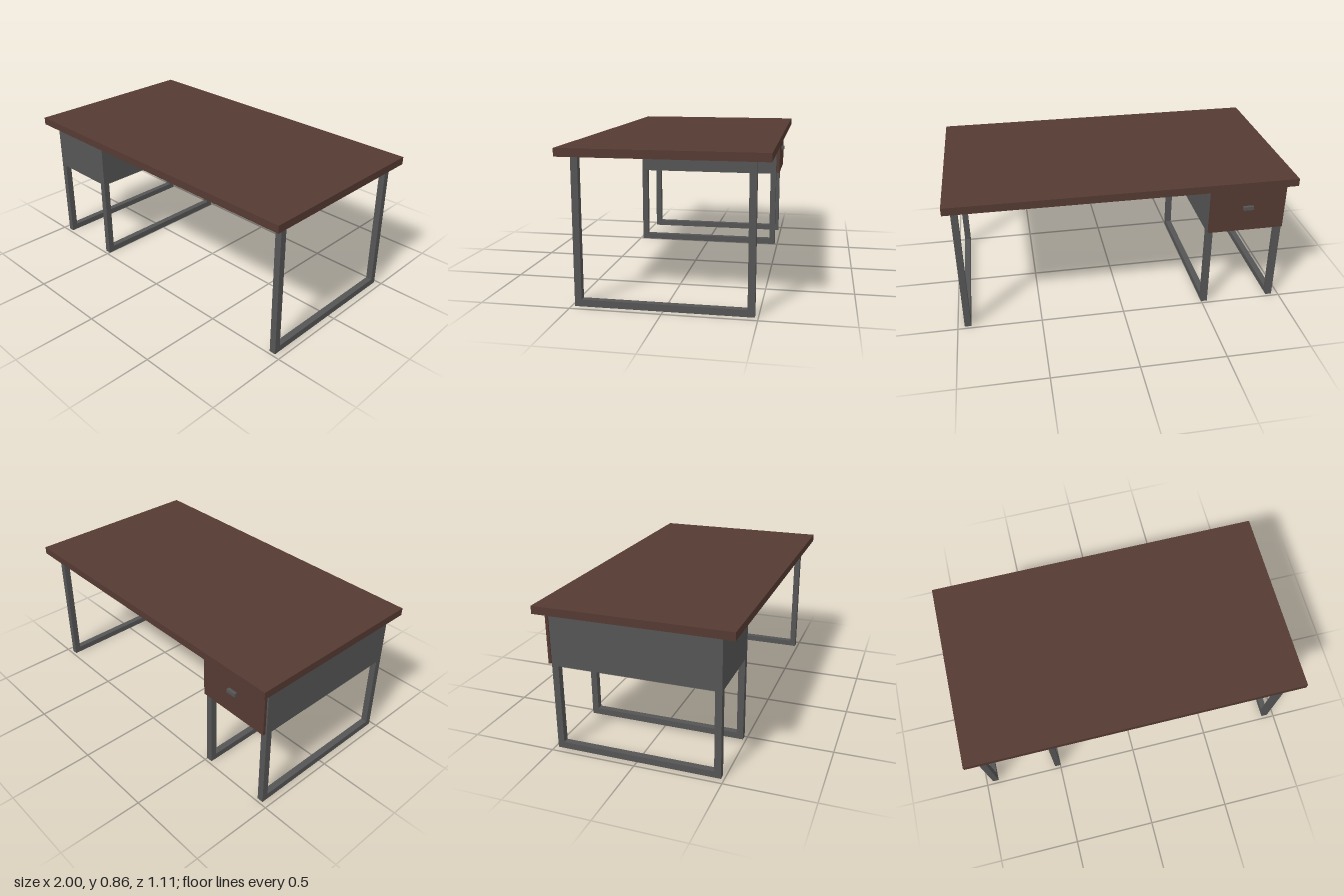
import * as THREE from 'three';

export function createModel() {
  const desk = new THREE.Group();
  desk.name = 'desk';
  const wood = new THREE.MeshStandardMaterial({ color: 0x553a32 });
  const metal = new THREE.MeshStandardMaterial({ color: 0x555555 });

  // Box given by its minimum and maximum along each axis
  function box(parent, name, material, [x0, x1], [y0, y1], [z0, z1]) {
    const mesh = new THREE.Mesh(new THREE.BoxGeometry(x1 - x0, y1 - y0, z1 - z0), material);
    mesh.position.set((x0 + x1) / 2, (y0 + y1) / 2, (z0 + z1) / 2);
    mesh.name = name;
    parent.add(mesh);
  }
  function group(name) {
    const g = new THREE.Group();
    g.name = name;
    desk.add(g);
    return g;
  }

  const bar = 0.038;          // square tube thickness
  const under = 0.81;         // underside of the top
  const zOut = 0.482, zIn = zOut - bar;
  const left = -0.96, right = -0.498; // outer sides of the cabinet
  const low = 0.508;          // bottom of the cabinet

  // Table top
  box(desk, 'tableTop', wood, [-1, 1], [under, 0.855], [-0.557, 0.557]);

  // Three U-shaped leg frames
  for (const x of [left, right - bar, 0.96 - bar]) {
    const frame = group('legFrame');
    const xs = [x, x + bar];
    box(frame, 'frontLeg', metal, xs, [0, under], [zIn, zOut]);
    box(frame, 'backLeg', metal, xs, [0, under], [-zOut, -zIn]);
    box(frame, 'floorRail', metal, xs, [0, bar], [-zIn, zIn]);
  }

  // Cabinet panels fill the upper part of two frames; the bottom stays open
  const cabinet = group('cabinet');
  const inner = [left + bar, right - bar];
  for (const x of [left, right - bar])
    box(cabinet, 'sidePanel', metal, [x, x + bar], [low, under], [-zIn, zIn]);
  box(cabinet, 'frontPanel', metal, inner, [low, under], [zIn, zOut]);
  box(cabinet, 'lowerRail', metal, inner, [low, low + bar], [-zOut, -zIn]);
  box(cabinet, 'upperRail', metal, inner, [under - bar, under], [-zOut, -zIn]);

  // Drawer opening towards the back
  const drawer = group('drawer');
  const [dx0, dx1] = [inner[0] + 0.004, inner[1] - 0.004];
  const t = 0.015, d0 = 0.55, d1 = 0.767, zBack = -0.488, zEnd = 0.21;
  box(drawer, 'drawerBottom', wood, [dx0, dx1], [d0, d0 + t], [zBack, zEnd]);
  for (const x of [dx0, dx1 - t])
    box(drawer, 'drawerSide', wood, [x, x + t], [d0 + t, d1], [zBack, zEnd]);
  box(drawer, 'drawerEnd', wood, [dx0 + t, dx1 - t], [d0 + t, d1], [zEnd - t, zEnd]);
  box(drawer, 'drawerFace', wood, [left + 0.004, right - 0.004], [0.515, 0.805], [-0.505, zBack]);
  const mid = (left + right) / 2;
  box(drawer, 'drawerHandle', metal, [mid - 0.03, mid + 0.03], [0.656, 0.678], [-0.523, -0.505]);

  return desk;
}
